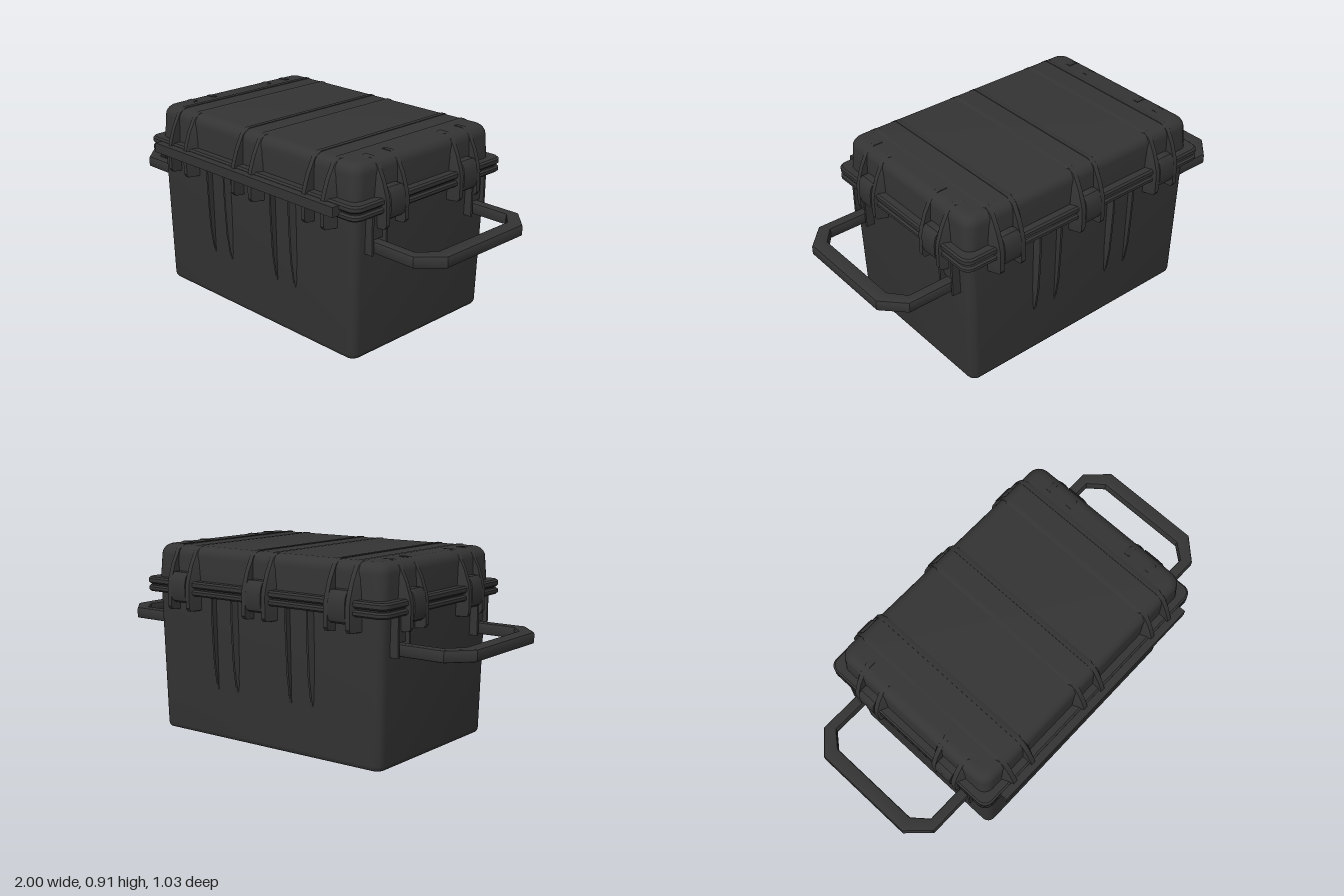
import * as THREE from 'three';
import { toCreasedNormals } from 'three/addons/utils/BufferGeometryUtils.js';

const CZ = -0.012; // depth centre of the case
const SIDE = 0.207; // extra reach of the end walls compared with front and back
const material = new THREE.MeshStandardMaterial({ color: 0x343434 });

function part(name, geometry, parent) {
  const mesh = new THREE.Mesh(geometry, material);
  mesh.name = name;
  parent.add(mesh);
  return mesh;
}

// Skin over a list of equal-length closed sections, capped at both ends
function loft(sections, crease = 0.6) {
  const n = sections[0].length;
  const tris = [];
  for (let i = 0; i < sections.length - 1; i++) {
    for (let j = 0; j < n; j++) {
      const k = (j + 1) % n;
      const a = sections[i][j], b = sections[i + 1][j], c = sections[i][k], d = sections[i + 1][k];
      tris.push([a, b, c], [c, b, d]);
    }
  }
  const cap = (s, flip) => {
    const mid = s.reduce((m, p) => m.add(p), new THREE.Vector3()).divideScalar(n);
    s.forEach((p, j) => {
      const q = s[(j + 1) % n];
      tris.push(flip ? [mid, q, p] : [mid, p, q]);
    });
  };
  cap(sections[0], false);
  cap(sections[sections.length - 1], true);
  // turn the skin outward whichever way the sections run
  let volume = 0;
  const cross = new THREE.Vector3();
  for (const [a, b, c] of tris) volume += a.dot(cross.crossVectors(b, c));
  const pos = [];
  for (const t of tris) {
    for (const p of volume < 0 ? [...t].reverse() : t) pos.push(p.x, p.y, p.z);
  }
  const geo = new THREE.BufferGeometry();
  geo.setAttribute('position', new THREE.Float32BufferAttribute(pos, 3));
  return toCreasedNormals(geo, crease);
}

// Rounded rectangle ring at height y
function ring(y, hx, hz, r) {
  const pts = [];
  for (let c = 0; c < 4; c++) {
    const sx = c === 0 || c === 3 ? 1 : -1, sz = c < 2 ? 1 : -1;
    for (let i = 0; i <= 6; i++) {
      const a = (c + i / 6) * Math.PI / 2;
      pts.push(new THREE.Vector3(sx * (hx - r) + r * Math.cos(a), y, CZ + sz * (hz - r) + r * Math.sin(a)));
    }
  }
  return pts;
}
const shell = (rows) => loft(rows.map((row) => ring(...row)));

// Wedge rib: steep edge at u, flat crest t wide, flank w wide; path rows are [out, y, baseOut, baseY]
function rib(path, u, dir, t, w) {
  return loft(path.map(([n, y, bn, by]) => [
    new THREE.Vector3(u, by, bn), new THREE.Vector3(u, y, n),
    new THREE.Vector3(u + dir * t, y, n), new THREE.Vector3(u + dir * (t + w), by, bn),
  ]));
}

const LID_RIB = [
  [0.36, 0.908, 0.36, 0.89], [0.405, 0.908, 0.39, 0.885], [0.44, 0.886, 0.41, 0.86],
  [0.474, 0.82, 0.42, 0.80], [0.496, 0.755, 0.43, 0.75], [0.503, 0.72, 0.43, 0.72],
  [0.503, 0.62, 0.43, 0.625], [0.492, 0.605, 0.43, 0.61], [0.43, 0.60, 0.42, 0.60],
];
const BODY_RIB = [
  [0.472, 0.685, 0.43, 0.685], [0.472, 0.61, 0.43, 0.61], [0.467, 0.50, 0.43, 0.50],
  [0.459, 0.37, 0.425, 0.37], [0.445, 0.28, 0.425, 0.28], [0.43, 0.21, 0.42, 0.21],
];
const LATCH = [
  [0.45, 0.785], [0.484, 0.785], [0.499, 0.765], [0.506, 0.73],
  [0.506, 0.675], [0.498, 0.65], [0.484, 0.64], [0.45, 0.64],
];

// Pairs of lid ribs around each clasp position
function claspBays(wall, centres, half, latched, path) {
  for (const c of centres) {
    for (const s of [-1, 1]) part('lidRib', rib(path, c + s * half, s, 0.022, 0.03), wall);
    if (!latched) continue;
    const slices = [[-0.045, 0.94], [-0.036, 1], [0.036, 1], [0.045, 0.94]];
    part('latch', loft(slices.map(([u, k]) =>
      LATCH.map(([n, y]) => new THREE.Vector3(c + u, 0.7125 + (y - 0.7125) * k, n)))), wall);
  }
}

function carryHandle(wall) {
  const half = [[0.355, 0.44], [0.355, 0.695], [0.252, 0.793]];
  const inner = [[0.232, 0.723], [0.305, 0.663], [0.305, 0.44]];
  const flip = (list) => list.map(([u, n]) => [-u, n]).reverse();
  const outline = [...half, ...flip(half), ...flip(inner), ...inner];
  const shape = new THREE.Shape(outline.map(([u, n]) => new THREE.Vector2(u, n)));
  const geo = new THREE.ExtrudeGeometry(shape, {
    depth: 0.037, bevelSize: 0.01, bevelThickness: 0.009, bevelOffset: -0.01, bevelSegments: 2,
  });
  geo.rotateX(Math.PI / 2);
  part('handleLoop', toCreasedNormals(geo, 0.5), wall).position.y = 0.549;
  // bracket cheeks and backing blocks
  for (const s of [-1, 1]) {
    for (const u of [0.285, 0.372]) {
      part('handleBracket', new THREE.BoxGeometry(0.012, 0.18, 0.065), wall).position.set(s * u, 0.59, 0.453);
    }
    part('handleMount', new THREE.BoxGeometry(0.08, 0.12, 0.04), wall).position.set(s * 0.329, 0.62, 0.445);
  }
}

function makeWall(name, angle, parent) {
  const pivot = new THREE.Group();
  pivot.name = name;
  pivot.position.z = CZ;
  pivot.rotation.y = angle;
  parent.add(pivot);
  return pivot;
}

export function createModel() {
  const model = new THREE.Group();
  model.name = 'storageCase';

  // tapered lower box
  part('body', shell([
    [0, 0.622, 0.412, 0.03], [0.004, 0.633, 0.423, 0.036], [0.012, 0.639, 0.429, 0.04],
    [0.025, 0.641, 0.431, 0.04], [0.69, 0.656, 0.446, 0.045],
  ]), model);

  // domed lid with a rounded top edge
  const dome = [[0.72, 0.66, 0.448, 0.045]];
  for (let i = 0; i <= 6; i++) {
    const a = i / 6 * Math.PI / 2, d = 0.05 * (1 - Math.cos(a));
    dome.push([0.855 + 0.05 * Math.sin(a), 0.656 - d, 0.445 - d, 0.06 - d * 0.6]);
  }
  part('lid', shell(dome), model);

  // two lips with a recessed seal between them
  const lip = (y0, y1) => shell([
    [y0, 0.692, 0.48, 0.04], [y0 + 0.008, 0.7, 0.488, 0.045],
    [y1 - 0.008, 0.7, 0.488, 0.045], [y1, 0.692, 0.48, 0.04],
  ]);
  part('bodyLip', lip(0.677, 0.706), model);
  part('seal', shell([[0.70, 0.685, 0.473, 0.04], [0.72, 0.685, 0.473, 0.04]]), model);
  part('lidLip', lip(0.713, 0.746), model);

  // front and back walls
  for (const [name, angle, latched] of [['frontWall', 0, false], ['backWall', Math.PI, true]]) {
    const wall = makeWall(name, angle, model);
    const overTop = [[0, 0.908, 0, 0.89], ...LID_RIB];
    claspBays(wall, [-0.4625, 0, 0.4625], 0.047, latched, overTop);
    for (const c of [-0.22, 0.22]) {
      for (const s of [-1, 1]) part('bodyRib', rib(BODY_RIB, c + s * 0.055, s, 0.01, 0.02), wall);
    }
  }

  // end walls with latches and handles
  for (const [name, angle] of [['leftEnd', Math.PI / 2], ['rightEnd', -Math.PI / 2]]) {
    const wall = new THREE.Group();
    wall.name = name + 'Parts';
    wall.position.z = SIDE;
    makeWall(name, angle, model).add(wall);
    claspBays(wall, [-0.24, 0.24], 0.049, true, LID_RIB);
    carryHandle(wall);
  }

  // hinge bar along the front
  part('hingeBar', new THREE.BoxGeometry(1.21, 0.046, 0.05), model).position.set(0, 0.713, 0.488);
  return model;
}
